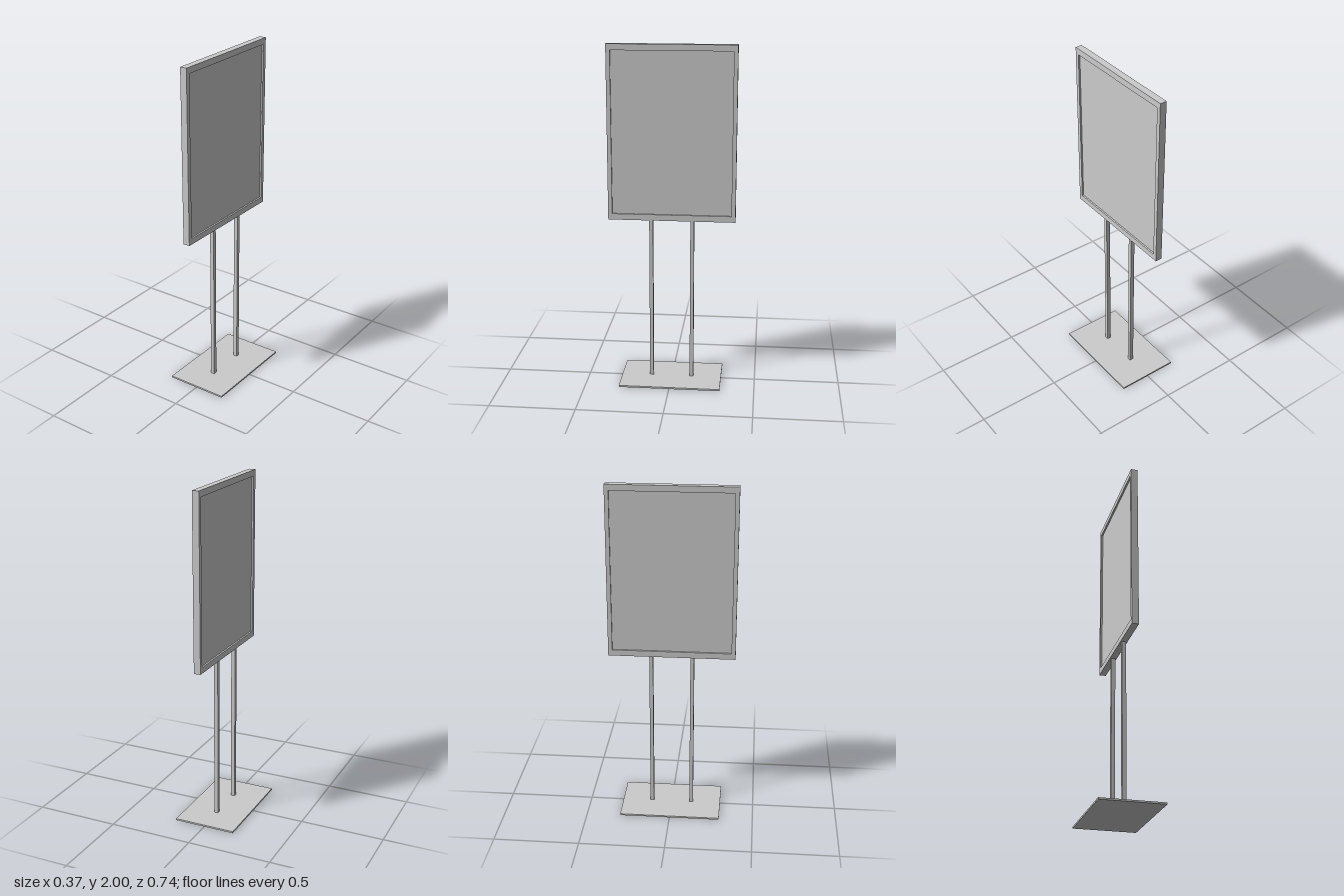
import * as THREE from 'three';

export function createModel() {
  const group = new THREE.Group();
  const material = new THREE.MeshStandardMaterial({ color: 0xcccccc });

  const add = (name, geometry, x, y, z) => {
    const mesh = new THREE.Mesh(geometry, material);
    mesh.name = name;
    mesh.position.set(x, y, z);
    group.add(mesh);
    return mesh;
  };
  const rectangle = (target, w, h) => {
    target.moveTo(-w / 2, -h / 2);
    target.lineTo(w / 2, -h / 2);
    target.lineTo(w / 2, h / 2);
    target.lineTo(-w / 2, h / 2);
    target.closePath();
    return target;
  };

  // Flat floor plate
  add('basePlate', new THREE.BoxGeometry(0.37, 0.01, 0.596), 0, 0.005, 0);

  // Two slim square posts
  for (const side of [-1, 1]) {
    add(side > 0 ? 'frontPost' : 'backPost',
      new THREE.BoxGeometry(0.024, 0.98, 0.022), 0, 0.5, side * 0.12);
  }

  // Sign frame with a rectangular opening, turned to face the sides
  const outline = rectangle(new THREE.Shape(), 0.74, 1.015);
  outline.holes.push(rectangle(new THREE.Path(), 0.692, 0.944));
  const frame = new THREE.ExtrudeGeometry(outline, { depth: 0.04, bevelEnabled: false });
  frame.translate(0, 0, -0.02);
  frame.rotateY(Math.PI / 2);
  add('signFrame', frame, 0, 1.4925, 0);

  // Recessed panel, seen from both sides
  add('signPanel', new THREE.BoxGeometry(0.02, 0.946, 0.694), 0, 1.4925, 0);

  return group;
}
